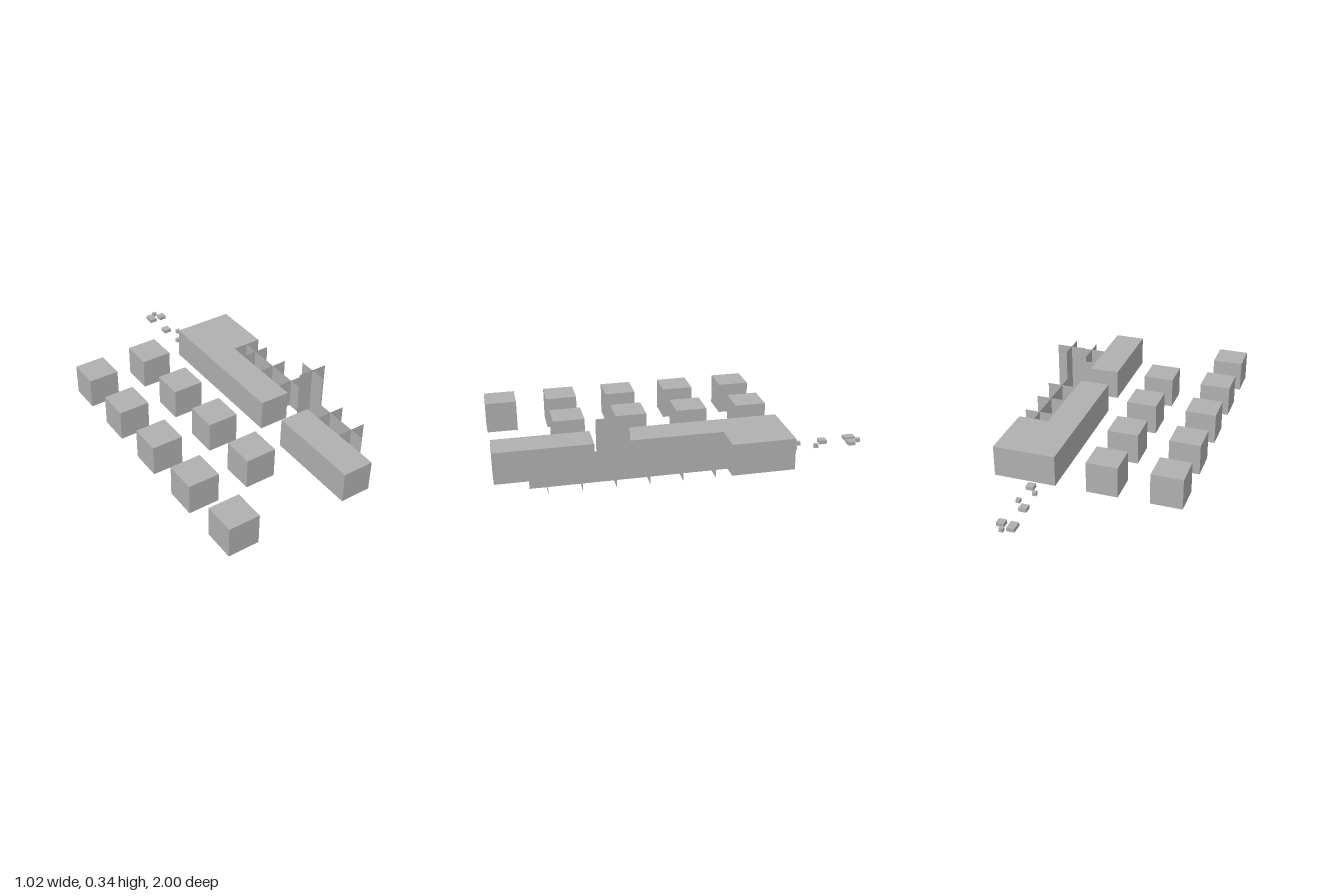
import * as THREE from 'three';

export function createModel() {
  const group = new THREE.Group();
  const grey = new THREE.MeshStandardMaterial({ color: 0xb0b0b0 });
  const greySheet = new THREE.MeshStandardMaterial({ color: 0xb0b0b0, side: THREE.DoubleSide });
  const U = 0.171; // side of one block
  const H = 0.173; // block height

  const add = (name, geometry, material, x, y, z, parent = group) => {
    const mesh = new THREE.Mesh(geometry, material);
    mesh.name = name;
    mesh.position.set(x, y, z);
    parent.add(mesh);
    return mesh;
  };

  // Two rows of separate cubes
  const cube = new THREE.BoxGeometry(U, H, U);
  const rowZ = [-0.449, -0.108, 0.233, 0.573, 0.914];
  rowZ.forEach((z) => add('outerCube', cube, grey, -0.426, H / 2, z));
  rowZ.slice(0, 4).forEach((z) => add('innerCube', cube, grey, -0.085, H / 2, z));

  // L-shaped wall, extruded upwards from its plan (shape y is -z)
  const plan = new THREE.Shape([
    [0.17, -0.315], [0.34, -0.315], [0.34, 0.195],
    [0.511, 0.195], [0.511, 0.535], [0.17, 0.535],
  ].map(([x, y]) => new THREE.Vector2(x, y)));
  const wall = new THREE.ExtrudeGeometry(plan, { depth: H, bevelEnabled: false });
  add('cornerWall', wall.rotateX(-Math.PI / 2), grey, 0, 0, 0);

  // Short straight wall
  add('shortWall', new THREE.BoxGeometry(U, H, 0.514), grey, 0.255, H / 2, 0.743);

  // Row of plants made of crossed sheets, the fourth one twice as tall
  for (let i = 0; i < 6; i++) {
    const height = i === 3 ? 0.343 : 0.17;
    const plant = new THREE.Group();
    plant.name = 'crossedPlant';
    plant.position.set(0.426, height / 2, -0.108 + i * 0.1705);
    const sheet = new THREE.PlaneGeometry(U, height);
    add('sheetAcross', sheet, greySheet, 0, 0, 0, plant);
    add('sheetAlong', sheet, greySheet, 0, 0, 0, plant).rotation.y = Math.PI / 2;
    group.add(plant);
  }

  // Small pebbles behind the wall: x, z, width, depth
  [
    [0.265, -0.99, 0.022, 0.02],
    [0.222, -0.953, 0.042, 0.06],
    [0.287, -0.94, 0.042, 0.04],
    [0.234, -0.792, 0.042, 0.042],
    [0.287, -0.737, 0.022, 0.022],
    [0.234, -0.653, 0.022, 0.022],
    [0.277, -0.602, 0.042, 0.042],
  ].forEach(([x, z, w, d]) => add('pebble', new THREE.BoxGeometry(w, 0.021, d), grey, x, 0.0165, z));

  return group;
}
